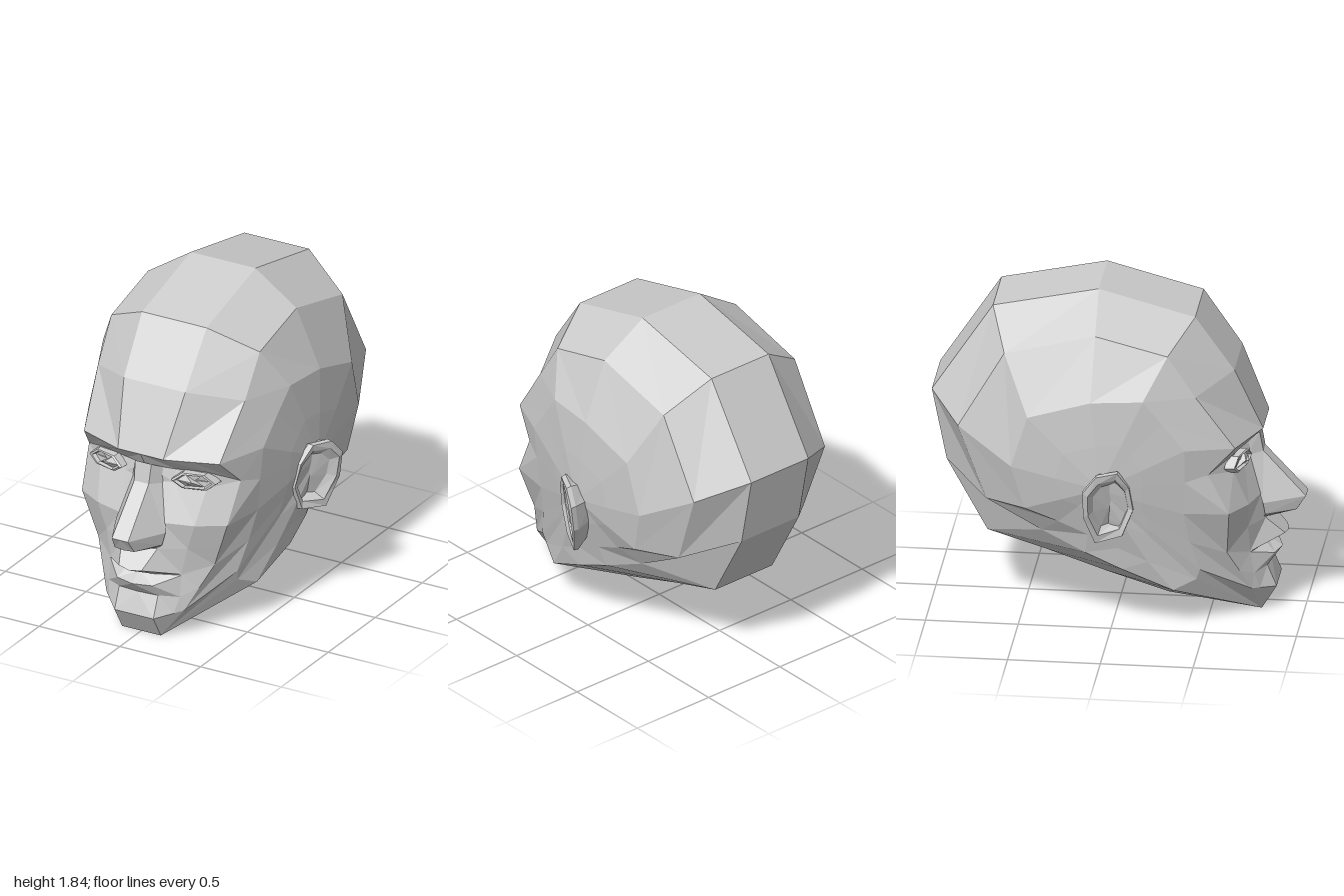
import * as THREE from 'three';

const material = new THREE.MeshStandardMaterial({ color: 0xcccccc, flatShading: true, side: THREE.DoubleSide });

// Skins a list of equal-length point loops with flat facets; side = -1 mirrors to the right
function loft(name, loops, closed, side) {
  const pos = [];
  const n = loops[0].length;
  const tri = (...pts) => {
    const [a, b, c] = pts.map(p => new THREE.Vector3(p[0] * side, p[1], p[2]));
    const area = b.clone().sub(a).cross(c.clone().sub(a)).length();
    if (area < 1e-7) return;
    for (const p of side > 0 ? [a, b, c] : [a, c, b]) pos.push(p.x, p.y, p.z);
  };
  for (let i = 0; i < loops.length - 1; i++) {
    for (let j = 0; j < (closed ? n : n - 1); j++) {
      const k = (j + 1) % n;
      const a = loops[i][j], b = loops[i][k], c = loops[i + 1][k], d = loops[i + 1][j];
      tri(a, d, c);
      tri(a, c, b);
    }
  }
  const geo = new THREE.BufferGeometry();
  geo.setAttribute('position', new THREE.Float32BufferAttribute(pos, 3));
  geo.computeVertexNormals();
  const mesh = new THREE.Mesh(geo, material);
  mesh.name = name;
  return mesh;
}

const lerp = (a, b, t) => a.map((v, i) => v + (b[i] - v) * t);

// Central strip of the skull: brow, over the top, down the back, under the jaw to the chin
const crest = [
  [0.14, 1.05, 0.78], [0.19, 1.40, 0.63], [0.20, 1.70, 0.42], [0.20, 1.84, -0.10],
  [0.20, 1.72, -0.67], [0.20, 1.22, -1.00], [0.20, 0.82, -0.92], [0.20, 0.42, -0.70],
  [0.20, 0.32, -0.38], [0.20, 0.21, -0.06], [0.19, 0.10, 0.28], [0.12, 0, 0.77],
];

// Rim of the side of the head, same order, then back up the edge of the face
const rim = [
  [0.42, 1.04, 0.66], [0.455, 1.34, 0.45], [0.46, 1.57, 0.30], [0.46, 1.67, -0.09],
  [0.46, 1.55, -0.58], [0.46, 1.12, -0.83], [0.44, 0.70, -0.68], [0.44, 0.53, -0.38],
  [0.49, 0.43, -0.14], [0.51, 0.35, 0.06], [0.46, 0.22, 0.33], [0.12, 0, 0.77],
  [0.24, 0.16, 0.73], [0.36, 0.41, 0.61], [0.45, 0.67, 0.63], [0.47, 0.90, 0.52],
];

// Inner ring on the side of the head
const temple = [
  [0.54, 1.06, 0.40], [0.56, 1.22, 0.28], [0.58, 1.35, 0.18], [0.60, 1.34, -0.10],
  [0.60, 1.24, -0.44], [0.59, 0.95, -0.53], [0.56, 0.70, -0.46], [0.53, 0.62, -0.28],
  [0.53, 0.55, -0.12], [0.53, 0.48, 0.04], [0.51, 0.40, 0.20], [0.41, 0.27, 0.45],
  [0.42, 0.33, 0.47], [0.46, 0.50, 0.42], [0.50, 0.68, 0.39], [0.52, 0.87, 0.40],
];
const sideCentre = [0.60, 0.85, -0.05];
const innerRing = temple.map(p => {
  const q = lerp(p, sideCentre, 0.5);
  return [q[0] + 0.015, q[1], q[2]];
});

// Face rows from the middle out to the rim
const face = [
  [[0, 1.05, 0.78], crest[0], lerp(crest[0], rim[0], 0.5), rim[0]],
  [[0, 0.97, 0.73], [0.15, 0.95, 0.66], [0.32, 0.965, 0.64], rim[15]],
  [[0, 0.88, 0.73], [0.15, 0.88, 0.68], [0.33, 0.87, 0.64], rim[15]],
  [[0, 0.67, 0.80], [0.13, 0.67, 0.77], [0.30, 0.67, 0.72], rim[14]],
  [[0, 0.51, 0.80], [0.11, 0.52, 0.79], [0.25, 0.52, 0.71], lerp(rim[14], rim[13], 0.5)],
  [[0, 0.41, 0.90], [0.07, 0.42, 0.89], [0.22, 0.37, 0.72], rim[13]],
  [[0, 0.365, 0.79], [0.08, 0.365, 0.79], [0.22, 0.365, 0.72], rim[13]],
  [[0, 0.32, 0.87], [0.11, 0.32, 0.84], [0.22, 0.36, 0.72], rim[13]],
  [[0, 0.25, 0.81], [0.12, 0.25, 0.80], [0.22, 0.24, 0.74], lerp(rim[13], rim[12], 0.5)],
  [[0, 0.13, 0.85], [0.12, 0.13, 0.85], [0.20, 0.15, 0.77], rim[12]],
  [[0, 0, 0.77], crest[11], crest[11], crest[11]],
];

// Nose rows: ridge, ridge edge, foot of the side
const nose = [
  [[0, 0.99, 0.75], [0.05, 0.99, 0.75], [0.10, 0.95, 0.67]],
  [[0, 0.88, 0.77], [0.045, 0.88, 0.77], [0.10, 0.87, 0.69]],
  [[0, 0.63, 1.00], [0.05, 0.63, 1.00], [0.155, 0.62, 0.78]],
  [[0, 0.555, 0.96], [0.06, 0.555, 0.95], [0.14, 0.55, 0.79]],
  [[0, 0.51, 0.80], [0.06, 0.51, 0.80], [0.12, 0.53, 0.78]],
];

// Eye: almond outline, raised lid edge, set-back eyeball
const almond = [[0.15, 0.91], [0.21, 0.957], [0.33, 0.957], [0.39, 0.91], [0.34, 0.868], [0.21, 0.868]];
const eyeLoop = (scale, lift) => almond.map(([x, y]) => [
  0.27 + (x - 0.27) * scale, 0.912 + (y - 0.912) * scale, 0.67 - (x - 0.27) * 0.27 + lift]);
const eye = [eyeLoop(1.04, -0.04), eyeLoop(1, 0.015), eyeLoop(0.85, 0.02), eyeLoop(0.75, 0), eyeLoop(0, 0.015)];

// Ear: outline as [z, y], flaring outwards towards the back
const earOutline = [
  [0.05, 0.96], [-0.06, 0.955], [-0.13, 0.87], [-0.13, 0.72], [-0.07, 0.55], [0.07, 0.57], [0.13, 0.72], [0.11, 0.86],
];
const earLoop = (scale, lift) => earOutline.map(([z, y]) => [
  0.595 + (0.12 - z) * 0.5 + (y - 0.87) * 0.12 + lift, 0.76 + (y - 0.76) * scale, z * scale]);
const earRoot = earOutline.map(([z, y]) => [0.54, 0.76 + (y - 0.76) * 0.8, z * 0.8 + 0.01]);
const ear = [earRoot, earLoop(1, -0.025), earLoop(0.98, 0.005), earLoop(0.78, 0), earLoop(0.6, -0.05),
  earOutline.map(() => [0.6, 0.74, 0])];

export function createModel() {
  const head = new THREE.Group();
  head.name = 'head';
  for (const side of [1, -1]) {
    const half = new THREE.Group();
    half.name = side > 0 ? 'leftHalf' : 'rightHalf';
    half.add(
      loft('skull', [crest.map(p => [0, p[1], p[2]]), crest, rim.slice(0, 12)], false, side),
      loft('sideOfHead', [rim, temple, innerRing, rim.map(() => [0.62, 0.85, -0.05])], true, side),
      loft('face', face, false, side),
      loft('nose', nose, false, side),
      loft('eye', eye, true, side),
      loft('ear', ear, true, side),
    );
    head.add(half);
  }
  return head;
}
